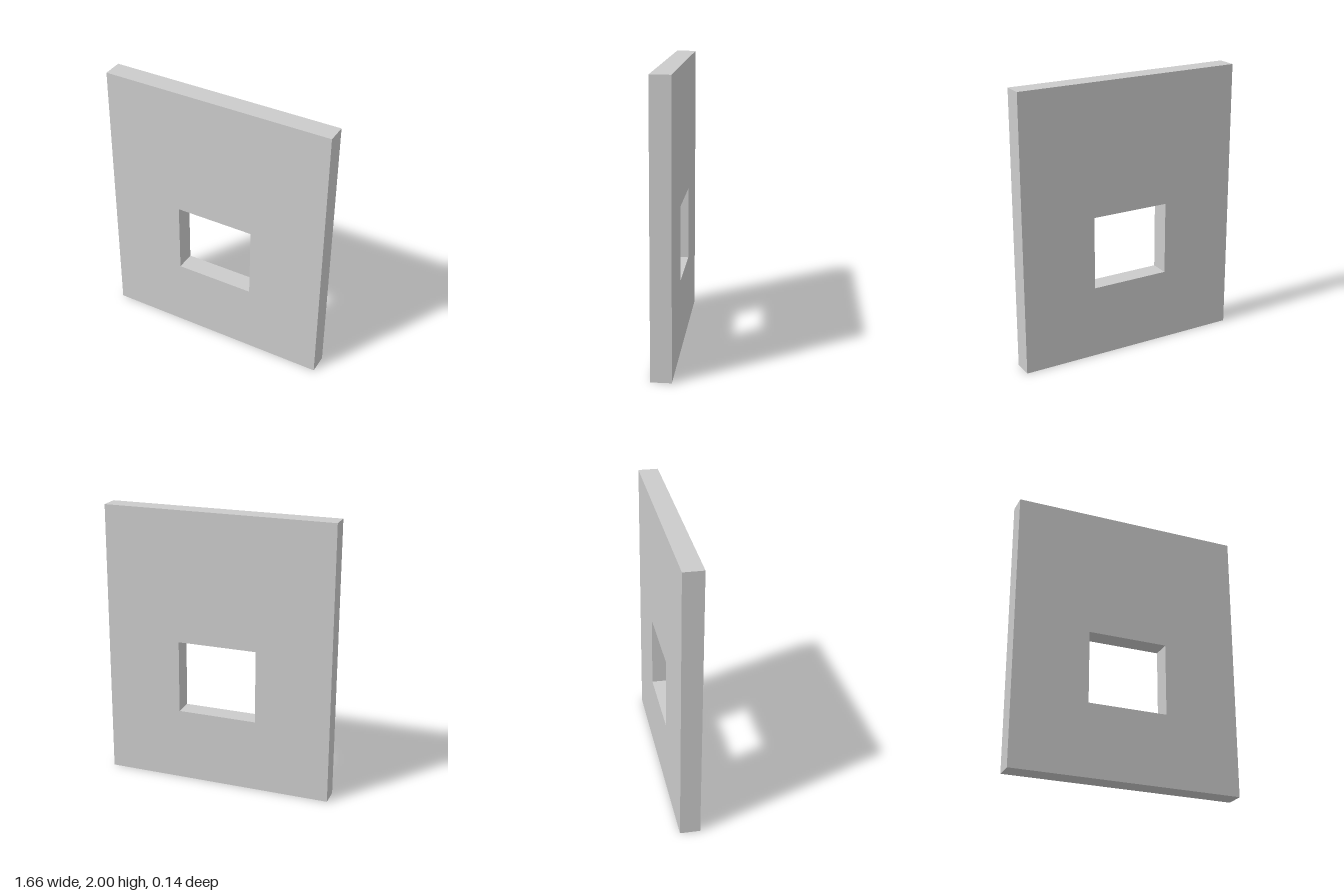
import * as THREE from 'three';

const WIDTH = 1.664, HEIGHT = 2, DEPTH = 0.142;
const OPENING = { left: -0.288, right: 0.288, bottom: 0.525, top: 1.052 };

// Adds a closed rectangle to a shape or path
function rectangle(path, left, bottom, right, top) {
  path.moveTo(left, bottom);
  path.lineTo(right, bottom);
  path.lineTo(right, top);
  path.lineTo(left, top);
  path.closePath();
  return path;
}

export function createModel() {
  const group = new THREE.Group();
  group.name = 'wallWithWindow';

  // Wall panel with a rectangular window opening
  const outline = rectangle(new THREE.Shape(), -WIDTH / 2, 0, WIDTH / 2, HEIGHT);
  outline.holes.push(
    rectangle(new THREE.Path(), OPENING.left, OPENING.bottom, OPENING.right, OPENING.top)
  );
  const geometry = new THREE.ExtrudeGeometry(outline, { depth: DEPTH, bevelEnabled: false });
  geometry.translate(0, 0, -DEPTH / 2);

  const wall = new THREE.Mesh(geometry, new THREE.MeshStandardMaterial({ color: 0xcccccc }));
  wall.name = 'wallPanel';
  group.add(wall);
  return group;
}
